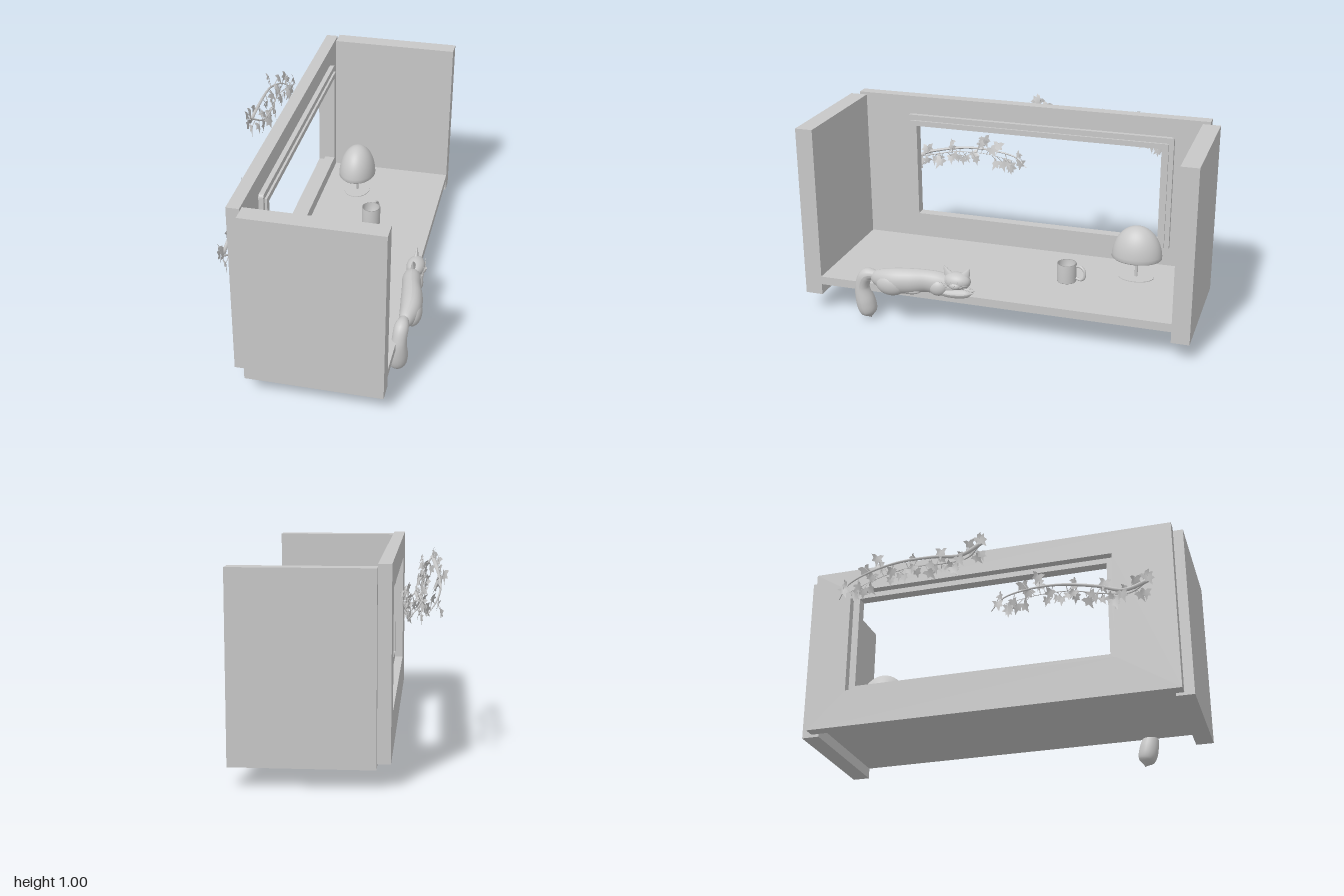
import * as THREE from 'three';

const clay = new THREE.MeshStandardMaterial({ color: 0xc8c8c8 });
clay.name = 'pale grey';
const clayThin = clay.clone();
clayThin.name = 'pale grey two sided';
clayThin.side = THREE.DoubleSide;

const V = (p) => new THREE.Vector3(p[0], p[1], p[2]);

function add(parent, name, geometry, pos = [0, 0, 0], material = clay) {
  const mesh = new THREE.Mesh(geometry, material);
  mesh.name = name;
  mesh.position.set(...pos);
  parent.add(mesh);
  return mesh;
}

// Box given by its limits on each axis
function box(parent, name, [x0, x1], [y0, y1], [z0, z1]) {
  return add(parent, name, new THREE.BoxGeometry(x1 - x0, y1 - y0, z1 - z0),
    [(x0 + x1) / 2, (y0 + y1) / 2, (z0 + z1) / 2]);
}

// Rounded rectangle in the z-y plane
function rect(Type, [z0, z1, y0, y1], r = 0) {
  const s = new Type();
  s.moveTo(z0 + r, y0);
  s.lineTo(z1 - r, y0);
  if (r) s.quadraticCurveTo(z1, y0, z1, y0 + r);
  s.lineTo(z1, y1 - r);
  if (r) s.quadraticCurveTo(z1, y1, z1 - r, y1);
  s.lineTo(z0 + r, y1);
  if (r) s.quadraticCurveTo(z0, y1, z0, y1 - r);
  s.lineTo(z0, y0 + r);
  if (r) s.quadraticCurveTo(z0, y0, z0 + r, y0);
  return s;
}

// Upright panel with a hole, facing +x, running from x1 back to x0
function ring(parent, name, outer, inner, x0, x1, r = 0) {
  const shape = rect(THREE.Shape, outer, r);
  shape.holes.push(rect(THREE.Path, inner));
  const geo = new THREE.ExtrudeGeometry(shape, { depth: x1 - x0, bevelEnabled: false, curveSegments: 5 });
  const mesh = add(parent, name, geo, [x1, 0, 0]);
  mesh.rotation.y = -Math.PI / 2;
}

// Tube whose radius follows a list of values; sx and sy flatten it
function taper(points, radii, segs = 32, sides = 16, sx = 1, sy = 1) {
  const curve = new THREE.CatmullRomCurve3(points.map(V));
  const geo = new THREE.TubeGeometry(curve, segs, 1, sides);
  const p = geo.attributes.position, v = new THREE.Vector3();
  const profile = new THREE.SplineCurve(radii.map((r, i) => new THREE.Vector2(i, r)));
  for (let i = 0; i <= segs; i++) {
    const u = i / segs, c = curve.getPointAt(u);
    const r = Math.max(0.0005, profile.getPoint(curve.getUtoTmapping(u)).y);
    for (let j = 0; j <= sides; j++) {
      const k = i * (sides + 1) + j;
      v.fromBufferAttribute(p, k).sub(c).multiplyScalar(r);
      p.setXYZ(k, c.x + v.x * sx, c.y + v.y * sy, c.z + v.z);
    }
  }
  geo.computeVertexNormals();
  return geo;
}

function seeded(seed) {
  return () => (seed = (seed * 16807) % 2147483647) / 2147483647;
}

// Five-pointed leaf hanging down from its stalk
function leafGeometry() {
  const half = [[0.18, 0.14], [0.5, 0.1], [0.32, -0.2], [0.42, -0.5], [0.16, -0.5]];
  const outline = [[0, 0], ...half, [0, -1], ...half.map(([x, y]) => [-x, y]).reverse()];
  const geo = new THREE.ShapeGeometry(new THREE.Shape(outline.map(([x, y]) => new THREE.Vector2(x, y))));
  const p = geo.attributes.position;
  for (let i = 0; i < p.count; i++) p.setZ(i, -0.35 * Math.abs(p.getX(i)) - 0.15 * p.getY(i) ** 2);
  geo.computeVertexNormals();
  return geo;
}

// Vine: two long stems joined at one end, with twigs and leaves
function vine(name) {
  const g = new THREE.Group();
  g.name = name;
  const rand = seeded(4711), leaf = leafGeometry();
  const stems = [
    [[-0.01, 0.0, 0.39], [-0.04, -0.05, 0.28], [-0.04, -0.01, 0.15], [-0.045, 0.025, -0.04],
      [-0.05, 0.02, -0.2], [-0.03, 0.0, -0.33], [0.01, -0.04, -0.4]],
    [[-0.01, 0.0, 0.39], [0.03, -0.03, 0.3], [0.04, -0.01, 0.16], [0.025, 0.02, 0],
      [0.04, 0.03, -0.18], [0.03, 0.0, -0.34]]
  ];
  stems.forEach((pts, s) => {
    const radii = pts.map((_, i) => (s ? 0.005 : 0.011) * (1 - 0.8 * i / (pts.length - 1)));
    add(g, 'vineStem', taper(pts, radii, 40, 7));
    const curve = new THREE.CatmullRomCurve3(pts.map(V));
    const n = s ? 26 : 13;
    for (let i = 0; i < n; i++) {
      const a = curve.getPointAt((i + 0.5) / n);
      const up = rand() < 0.35 ? 1 : -0.6;
      const b = a.clone().add(V([(rand() - 0.5) * 0.04, up * (0.02 + rand() * 0.05), (rand() - 0.5) * 0.06]));
      add(g, 'leafStalk', new THREE.TubeGeometry(new THREE.LineCurve3(a, b), 1, 0.002, 4), [0, 0, 0], clayThin);
      const m = add(g, 'leaf', leaf, b.toArray(), clayThin);
      m.scale.setScalar(0.04 + rand() * 0.025);
      m.rotation.order = 'YXZ';
      m.rotation.set(-0.5 * rand(), Math.PI / 2 + (rand() - 0.5) * 1.2, (rand() - 0.5) * 1.4);
    }
  });
  return g;
}

function lamp() {
  const g = new THREE.Group();
  g.name = 'lamp';
  g.position.set(-0.043, 0.2, -0.64);
  g.scale.x = 0.78;
  const pts = [[0, 0.105], [0.122, 0.105]];
  for (let i = 0; i <= 14; i++) {
    const t = (i / 14) * Math.PI / 2;
    pts.push([0.13 * Math.cos(t), 0.112 + 0.168 * Math.sin(t)]);
  }
  add(g, 'lampShade', new THREE.LatheGeometry(pts.map(([x, y]) => new THREE.Vector2(Math.max(x, 0), y)), 40));
  add(g, 'lampStem', new THREE.CylinderGeometry(0.008, 0.008, 0.11, 16), [0, 0.053, 0]);
  add(g, 'lampBase', new THREE.CylinderGeometry(0.092, 0.092, 0.004, 36), [0, 0.002, 0]);
  return g;
}

function mug() {
  const g = new THREE.Group();
  g.name = 'mug';
  g.position.set(0.106, 0.2, -0.31);
  const wall = [[0, 0], [0.049, 0], [0.05, 0.003], [0.05, 0.097], [0.044, 0.097], [0.044, 0.01], [0, 0.01]];
  add(g, 'mugBody', new THREE.LatheGeometry(wall.map(([x, y]) => new THREE.Vector2(x, y)), 32));
  const handle = new THREE.CatmullRomCurve3([[0, 0.083, -0.047], [0.01, 0.087, -0.075], [0.018, 0.07, -0.096],
    [0.018, 0.035, -0.096], [0.01, 0.016, -0.075], [0, 0.02, -0.047]].map(V));
  add(g, 'mugHandle', new THREE.TubeGeometry(handle, 24, 0.007, 8));
  return g;
}

function cat() {
  const g = new THREE.Group();
  g.name = 'cat';
  const blob = (name, pos, r) => {
    const m = add(g, name, new THREE.SphereGeometry(1, 28, 20), pos);
    m.scale.set(...r);
    return m;
  };
  add(g, 'catBody', taper(
    [[0.45, 0.25, 0.64], [0.458, 0.25, 0.59], [0.467, 0.25, 0.5], [0.458, 0.255, 0.41], [0.442, 0.26, 0.33],
      [0.43, 0.25, 0.25], [0.425, 0.235, 0.17], [0.42, 0.225, 0.11]],
    [0, 0.036, 0.058, 0.06, 0.053, 0.053, 0.035, 0], 48, 24, 0.9, 1.1));
  blob('catThigh', [0.483, 0.235, 0.5], [0.042, 0.058, 0.08]);
  blob('catHindPaw', [0.475, 0.21, 0.41], [0.022, 0.018, 0.06]);
  blob('catShoulder', [0.455, 0.24, 0.26], [0.035, 0.045, 0.05]);
  add(g, 'catTail', taper(
    [[0.455, 0.262, 0.58], [0.45, 0.255, 0.645], [0.445, 0.19, 0.675], [0.438, 0.1, 0.663], [0.434, 0.04, 0.65], [0.432, 0.006, 0.64]],
    [0.02, 0.035, 0.037, 0.05, 0.042, 0], 40, 20));
  // Head turned towards +x
  blob('catHead', [0.435, 0.278, 0.165], [0.047, 0.045, 0.07]);
  blob('catMuzzle', [0.472, 0.265, 0.165], [0.018, 0.018, 0.028]);
  blob('catNose', [0.489, 0.272, 0.165], [0.005, 0.004, 0.007]);
  for (const s of [-1, 1]) {
    const ear = add(g, 'catEar', new THREE.ConeGeometry(0.03, 0.065, 16), [0.43, 0.326, 0.168 + s * 0.055]);
    ear.rotation.x = s * 0.5;
    ear.scale.x = 0.5;
    const eye = add(g, 'catEye', new THREE.TorusGeometry(0.013, 0.002, 6, 12, Math.PI), [0.474, 0.29, 0.165 + s * 0.03]);
    eye.rotation.set(0, Math.PI / 2 - s * 0.35, Math.PI, 'YXZ');
    for (const k of [-1, 0, 1]) {
      const line = new THREE.LineCurve3(V([0.478, 0.264 + k * 0.004, 0.165 + s * 0.02]),
        V([0.474, 0.262 + k * 0.018, 0.165 + s * 0.085]));
      add(g, 'whisker', new THREE.TubeGeometry(line, 1, 0.0012, 5), [0, 0, 0], clayThin);
    }
    add(g, 'catForeleg', taper(
      [[0.435 + s * 0.018, 0.23, 0.28], [0.437 + s * 0.018, 0.215, 0.2], [0.437 + s * 0.016, 0.222, 0.11], [0.436 + s * 0.014, 0.228, 0.075]],
      [0.02, 0.022, 0.02, 0], 20, 12));
  }
  return g;
}

export function createModel() {
  const model = new THREE.Group();
  model.name = 'windowNook';

  // Room shell
  box(model, 'shelf', [-0.23, 0.435], [0.157, 0.2], [-0.91, 0.91]);
  for (const s of [-1, 1]) {
    box(model, 'sidePanel', [-0.23, 0.435], [0.1, 0.99], [s * 0.955 - 0.045, s * 0.955 + 0.045]);
  }
  ring(model, 'windowWall', [-0.95, 0.95, 0.115, 1.004], [-0.75, 0.647, 0.31, 0.878], -0.292, -0.23);

  // Stepped window frame
  ring(model, 'windowTrim', [-0.775, 0.668, 0.293, 0.907], [-0.75, 0.647, 0.31, 0.878], -0.23, -0.206, 0.018);
  ring(model, 'windowFrame', [-0.75, 0.647, 0.31, 0.878], [-0.715, 0.612, 0.348, 0.85], -0.25, -0.195);

  model.add(lamp(), mug(), cat());

  // Vines outside the window
  const low = vine('lowerVine');
  low.position.set(-0.35, 0.66, 0.44);
  const high = vine('upperVine');
  high.position.set(-0.45, 0.87, -0.36);
  high.rotation.x = -0.2;
  model.add(low, high);
  return model;
}
